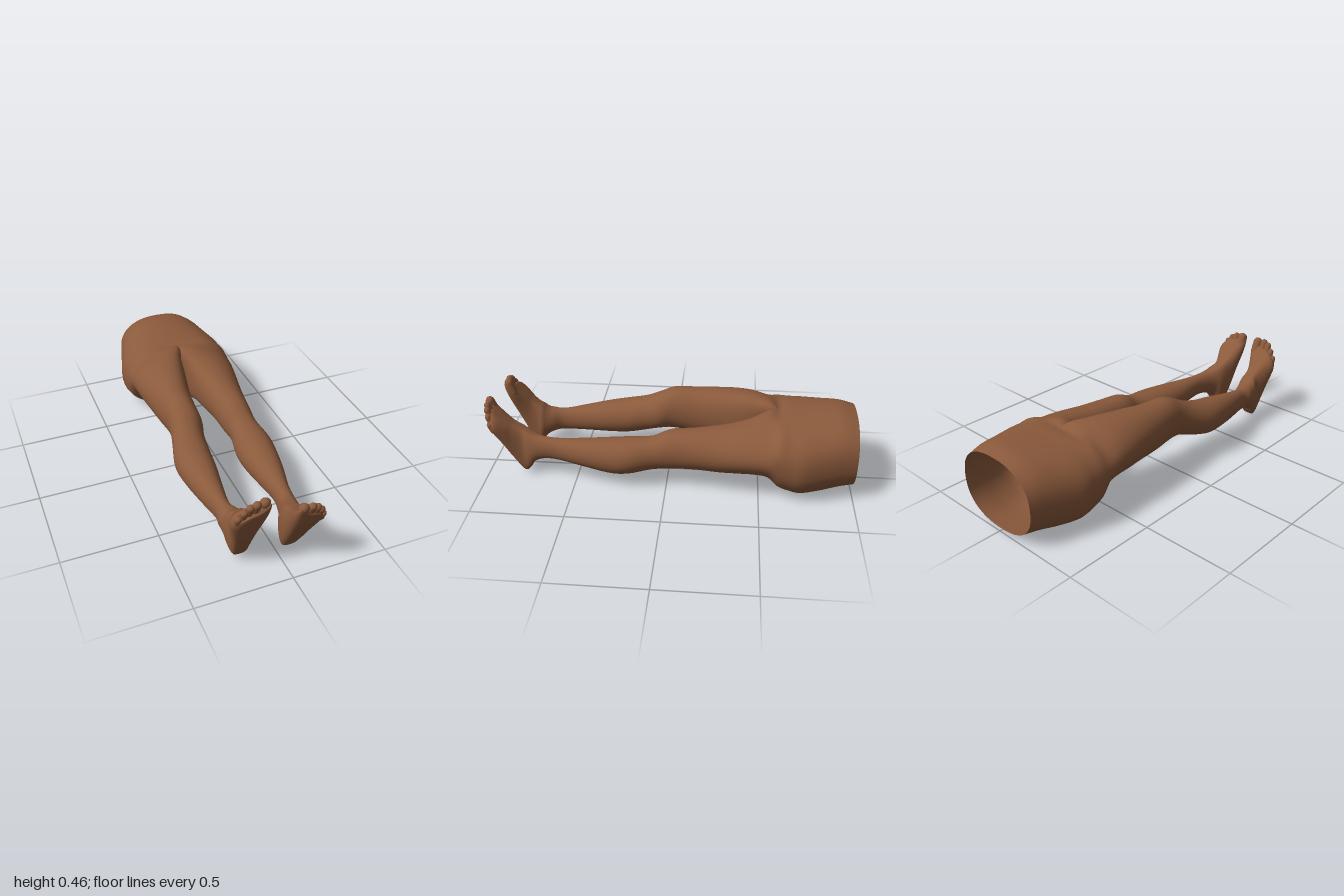
import * as THREE from 'three';
import { mergeVertices } from 'three/addons/utils/BufferGeometryUtils.js';

const M = 24;      // columns over half a ring
const SUB = 5;     // rows between two key sections
const MID = -0.005; // x of the body's middle

// Pelvis half sections: [z, yBottom, yTop, halfWidth, cleftDepth, groinDip]
const PELVIS = [
  [-1, 0.03, 0.42, 0.245, 0, 0],
  [-0.92, 0.018, 0.436, 0.266, 0.004, 0],
  [-0.82, -0.002, 0.432, 0.294, 0.018, 0],
  [-0.72, -0.012, 0.428, 0.32, 0.035, 0.004],
  [-0.65, 0.004, 0.428, 0.319, 0.06, 0.008],
  [-0.595, 0.03, 0.431, 0.317, 0.09, 0.02],
];

// Leg sections: [zBack, yBack, zFront, yFront, xInner, xOuter, lean, power, skew]
// Back runs over calf, heel and sole; front runs over shin and instep.
const t = (z, yb, yt, xi, xo, lean = 0, power = 0.9) => [z, yb, z, yt, xi, xo, lean, power, 0];
const LEFT = [
  t(-0.54, 0.07, 0.42, -0.002, 0.31, 0.72),
  t(-0.46, 0.1, 0.396, 0.006, 0.3, 0.45),
  t(-0.38, 0.108, 0.378, 0.014, 0.287, 0.28),
  t(-0.28, 0.11, 0.36, 0.024, 0.268, 0.18),
  t(-0.15, 0.118, 0.345, 0.037, 0.243, 0.06),
  t(-0.02, 0.113, 0.332, 0.045, 0.226),
  t(0.08, 0.105, 0.29, 0.06, 0.225),
  t(0.2, 0.078, 0.275, 0.041, 0.245),
  t(0.3, 0.072, 0.265, 0.042, 0.238),
  t(0.45, 0.095, 0.25, 0.055, 0.207),
  t(0.6, 0.115, 0.24, 0.07, 0.165),
  [0.68, 0.11, 0.69, 0.244, 0.058, 0.152, 0, 0.9, 0],
  [0.735, 0.085, 0.73, 0.252, 0.042, 0.147, 0, 0.75, 0],
  [0.762, 0.045, 0.765, 0.266, 0.025, 0.14, 0, 0.6, 0],
  [0.8, 0.015, 0.8, 0.282, 0.016, 0.128, 0, 0.52, 0],
  [0.852, 0.09, 0.845, 0.306, 0.011, 0.137, 0, 0.52, 0],
  [0.905, 0.19, 0.88, 0.333, 0.008, 0.152, 0, 0.52, 0.01],
  [0.957, 0.285, 0.922, 0.368, 0.003, 0.167, 0, 0.55, 0.022],
  [0.98, 0.342, 0.952, 0.392, 0.007, 0.162, 0, 0.6, 0.036],
  [0.986, 0.366, 0.968, 0.392, 0.016, 0.152, 0, 0.7, 0.042],
];
const RIGHT = [
  t(-0.54, 0.085, 0.438, -0.018, -0.317, 0.72),
  t(-0.46, 0.122, 0.445, -0.023, -0.316, 0.45),
  t(-0.38, 0.138, 0.445, -0.032, -0.313, 0.28),
  t(-0.28, 0.152, 0.44, -0.052, -0.304, 0.18),
  t(-0.15, 0.165, 0.43, -0.078, -0.289, 0.06),
  t(-0.02, 0.183, 0.425, -0.094, -0.276),
  t(0.06, 0.178, 0.392, -0.094, -0.276),
  t(0.14, 0.152, 0.352, -0.113, -0.294),
  t(0.25, 0.125, 0.32, -0.12, -0.32),
  t(0.36, 0.12, 0.3, -0.13, -0.31),
  t(0.48, 0.12, 0.275, -0.148, -0.285),
  t(0.62, 0.12, 0.25, -0.165, -0.25),
  [0.68, 0.115, 0.685, 0.255, -0.143, -0.256, 0, 0.9, 0],
  [0.73, 0.09, 0.718, 0.266, -0.13, -0.251, 0, 0.75, 0],
  [0.755, 0.055, 0.742, 0.285, -0.123, -0.249, 0, 0.6, 0],
  [0.785, 0.032, 0.77, 0.304, -0.128, -0.24, 0, 0.52, 0],
  [0.825, 0.11, 0.8, 0.33, -0.128, -0.247, 0, 0.52, 0],
  [0.862, 0.2, 0.826, 0.358, -0.118, -0.259, 0, 0.52, 0.01],
  [0.9, 0.3, 0.86, 0.392, -0.098, -0.273, 0, 0.55, 0.022],
  [0.92, 0.36, 0.885, 0.418, -0.095, -0.265, 0, 0.6, 0.036],
  [0.926, 0.39, 0.9, 0.42, -0.106, -0.252, 0, 0.7, 0.042],
];

// Toes from big to little: [x, y, z, radius] of the tip
const LEFT_TOES = [[0.036, 0.413, 0.976, 0.0265], [0.08, 0.409, 0.978, 0.0205],
  [0.109, 0.394, 0.973, 0.0195], [0.133, 0.367, 0.965, 0.0185], [0.15, 0.328, 0.955, 0.0175]];
const RIGHT_TOES = [[-0.124, 0.445, 0.912, 0.0265], [-0.166, 0.448, 0.919, 0.0215],
  [-0.196, 0.437, 0.916, 0.0195], [-0.222, 0.408, 0.908, 0.0185], [-0.246, 0.373, 0.899, 0.0175]];

const lerp = THREE.MathUtils.lerp;

function pelvisPoint([z, yb, yt, w, cleft, dip], j, side) {
  const a = Math.PI * j / M, c = Math.cos(a);
  const s = Math.max(0, Math.sin(a)); // the inner half collapses onto the middle
  const y = lerp(yb, yt, (1 - Math.sign(c) * Math.abs(c) ** 0.85) / 2)
    + cleft * Math.max(0, c) ** 24 - dip * Math.max(0, -c) ** 12;
  return new THREE.Vector3(MID + side * w * (s < 1e-6 ? 0 : s ** 0.85), y, z);
}

function legPoint([zb, yb, zt, yt, xi, xo, lean, power, skew], j) {
  const a = Math.PI * j / M, c = Math.cos(a), s = Math.sin(a), k = (1 - c) / 2;
  const half = (xo - xi) / 2;
  const x = (xi + xo) / 2 + half * (Math.sign(s) * Math.abs(s) ** power - lean * c * c);
  return new THREE.Vector3(x, lerp(yb, yt, k) - skew * s, lerp(zb, zt, k) - 0.45 * skew * s);
}

// Smooth points through the key points of one column
const smooth = keys => new THREE.CatmullRomCurve3(keys, false, 'catmullrom', 0.5)
  .getPoints((keys.length - 1) * SUB);

// Half the pelvis flowing into one leg and foot; halves meet along the middle
function addHalf(pos, index, sections, side) {
  const crotch = (PELVIS.length - 1) * SUB;
  const columns = [];
  for (let j = 0; j < 2 * M; j++) {
    const hip = PELVIS.map(p => pelvisPoint(p, j, side));
    const leg = sections.map(p => legPoint(p, j));
    if (j > 0 && j < M) columns.push(smooth([...hip, ...leg]));
    else columns.push([...smooth(hip).slice(0, -1), ...smooth([hip.at(-1), ...leg])]);
  }
  const start = pos.length / 3, rows = columns[0].length;
  for (let i = 0; i < rows; i++) for (const col of columns) pos.push(...col[i].toArray());
  const tri = (a, b, c) => index.push(...(side > 0 ? [a, b, c] : [a, c, b]));
  for (let i = 0; i < rows - 1; i++) {
    const count = i < crotch ? M : 2 * M;
    for (let j = 0; j < count; j++) {
      const n = (j + 1) % (2 * M);
      const a = start + i * 2 * M + j, b = start + i * 2 * M + n;
      tri(a, b, a + 2 * M);
      tri(b, b + 2 * M, a + 2 * M);
    }
  }
  // closed end of the foot, under the toes
  const end = new THREE.Vector3();
  columns.forEach(col => end.addScaledVector(col[rows - 1], 1 / columns.length));
  const last = start + (rows - 1) * 2 * M, tip = pos.length / 3;
  pos.push(...end.toArray());
  for (let j = 0; j < 2 * M; j++) tri(last + j, last + (j + 1) % (2 * M), tip);
}

// Toes: slightly flattened capsules rooted in the ball of the foot
function makeToes(tips, name, rootOffset, material) {
  const group = new THREE.Group();
  group.name = name;
  tips.forEach(([x, y, z, r], i) => {
    const root = rootOffset.clone().multiplyScalar(1 - 0.1 * i);
    const toe = new THREE.Mesh(new THREE.CapsuleGeometry(r, root.length(), 8, 18), material);
    toe.name = 'toe' + (i + 1);
    toe.position.set(x, y, z).addScaledVector(root, 0.5);
    toe.quaternion.setFromUnitVectors(new THREE.Vector3(0, 1, 0), root.normalize().negate());
    toe.scale.z = 0.88;
    group.add(toe);
  });
  return group;
}

export function createModel() {
  const model = new THREE.Group();
  model.name = 'lowerBody';
  const skin = new THREE.MeshStandardMaterial({ color: 0x8b5a3c, side: THREE.DoubleSide });

  const pos = [], index = [];
  addHalf(pos, index, LEFT, 1);
  addHalf(pos, index, RIGHT, -1);
  let geometry = new THREE.BufferGeometry();
  geometry.setAttribute('position', new THREE.Float32BufferAttribute(pos, 3));
  geometry.setIndex(index);
  geometry = mergeVertices(geometry, 1e-5);
  geometry.computeVertexNormals();
  const body = new THREE.Mesh(geometry, skin);
  body.name = 'hipsAndLegs';
  model.add(body);

  model.add(makeToes(LEFT_TOES, 'leftToes', new THREE.Vector3(0, -0.055, -0.024), skin));
  model.add(makeToes(RIGHT_TOES, 'rightToes', new THREE.Vector3(0, -0.055, -0.022), skin));
  return model;
}
